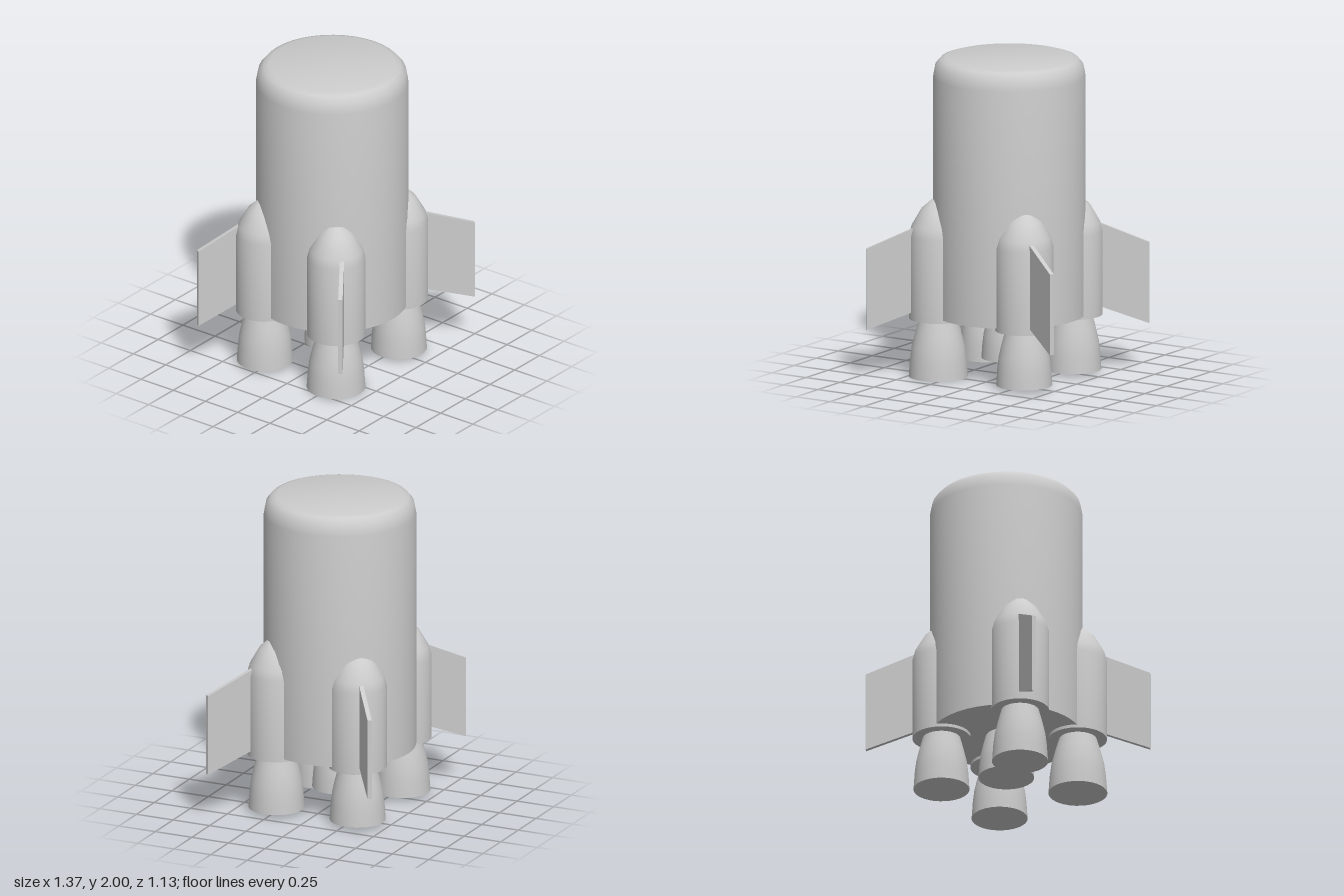
import * as THREE from 'three';
import { toCreasedNormals } from 'three/addons/utils/BufferGeometryUtils.js';

const material = new THREE.MeshStandardMaterial({ color: 0xcccccc });

// Turned solid from [radius, height] pairs, bottom to top
function turned(name, profile, x, z, segments = 32) {
  const points = profile.map(([r, y]) => new THREE.Vector2(r, y));
  const geometry = toCreasedNormals(new THREE.LatheGeometry(points, segments), 0.7);
  const mesh = new THREE.Mesh(geometry, material);
  mesh.name = name;
  mesh.position.set(x, 0, z);
  return mesh;
}

// Bell nozzle with a closed mouth
function nozzle(name, x, z, bottom, top, throat, mouth) {
  const at = (t) => bottom + (top - bottom) * t;
  const flare = (t) => throat + (mouth - throat) * t;
  return turned(name, [
    [0, bottom], [mouth, bottom], [flare(0.96), at(0.1)], [flare(0.88), at(0.3)],
    [flare(0.72), at(0.52)], [flare(0.4), at(0.75)], [throat, at(1)], [0, at(1)],
  ], x, z);
}

// Swept fin: parallelogram plate from the booster surface to its outer edge
function fin(name, inner, outer) {
  const dx = outer[0] - inner[0], dz = outer[1] - inner[1];
  const length = Math.hypot(dx, dz), root = -0.06, thickness = 0.027;
  const drop = (s, from, to) => from + (to - from) * s / length;
  const shape = new THREE.Shape([
    new THREE.Vector2(root, drop(root, 0.41, 0.305)),
    new THREE.Vector2(length, 0.305),
    new THREE.Vector2(length, 0.815),
    new THREE.Vector2(root, drop(root, 0.935, 0.815)),
  ]);
  const geometry = new THREE.ExtrudeGeometry(shape, { depth: thickness, bevelEnabled: false });
  geometry.translate(0, 0, -thickness / 2);
  const mesh = new THREE.Mesh(geometry, material);
  mesh.name = name;
  mesh.position.set(inner[0], 0, inner[1]);
  mesh.rotation.y = Math.atan2(-dz, dx);
  return mesh;
}

export function createModel() {
  const rocket = new THREE.Group();
  rocket.name = 'rocketStage';

  // Main tank with rounded shoulder
  rocket.add(turned('body', [
    [0, 0.385], [0.47, 0.385], [0.47, 1.88], [0.457, 1.95],
    [0.425, 1.987], [0.39, 1.998], [0, 2],
  ], -0.01, -0.025, 40));
  rocket.add(nozzle('centreNozzle', -0.01, -0.025, 0.105, 0.39, 0.125, 0.172));

  // Four boosters, each with nozzle and fin
  const boosters = [
    { name: 'frontLeft', x: 0.288, z: 0.265, bottom: 0.02, mouth: 0.173, inner: [0.41, 0.375], outer: [0.677, 0.552] },
    { name: 'frontRight', x: -0.345, z: 0.262, bottom: 0, mouth: 0.182, inner: [-0.46, 0.395], outer: [-0.682, 0.553] },
    { name: 'backLeft', x: 0.288, z: -0.29, bottom: 0.02, mouth: 0.173, inner: [0.435, -0.388], outer: [0.672, -0.558] },
    { name: 'backRight', x: -0.345, z: -0.29, bottom: 0.02, mouth: 0.173, inner: [-0.47, -0.425], outer: [-0.68, -0.555] },
  ];
  for (const b of boosters) {
    const group = new THREE.Group();
    group.name = b.name + 'Booster';
    group.add(turned('boosterTank', [
      [0, 0.365], [0.18, 0.365], [0.18, 0.89], [0.165, 0.95],
      [0.105, 1.055], [0.05, 1.105], [0, 1.115],
    ], b.x, b.z));
    group.add(nozzle('boosterNozzle', b.x, b.z, b.bottom, 0.37, 0.115, b.mouth));
    group.add(fin('fin', b.inner, b.outer));
    rocket.add(group);
  }
  return rocket;
}
